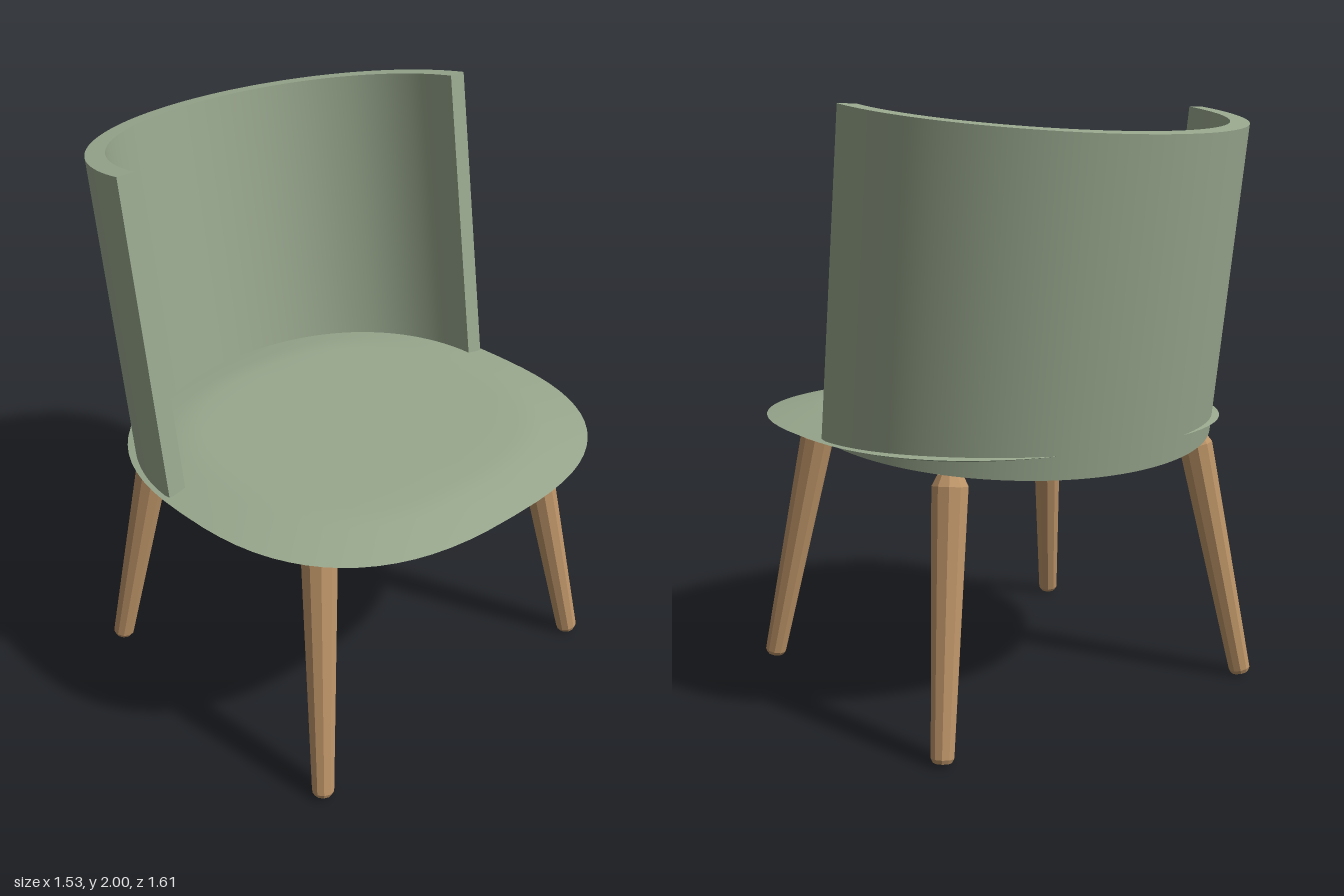
import * as THREE from 'three';
import { toCreasedNormals } from 'three/addons/utils/BufferGeometryUtils.js';

const fabric = new THREE.MeshStandardMaterial({ name: 'sageGreen', color: 0x99a88e });
const wood = new THREE.MeshStandardMaterial({ name: 'wood', color: 0xbd9468, flatShading: true });

// Point on the seat outline: a squarish front joined to a rounder back.
function outline(t, scale) {
  const c = Math.cos(t), s = Math.sin(t);
  const p = 2 / (s > 0 ? 2.6 : 2.4);
  const depth = s > 0 ? 0.735 : 0.72;
  const x = 0.765 * Math.sign(c) * Math.abs(c) ** p;
  const z = depth * Math.sign(s) * Math.abs(s) ** p;
  return [x * scale, 0.07 + z * scale];
}

// Domed surface made of scaled outlines; rings are [scale, height] from the middle to the rim.
function dome(rings, up) {
  const n = 72, pos = [], idx = [];
  for (const [scale, y] of rings) {
    for (let i = 0; i < n; i++) {
      const [x, z] = outline((i / n) * Math.PI * 2, scale);
      pos.push(x, y, z);
    }
  }
  for (let r = 0; r < rings.length - 1; r++) {
    for (let i = 0; i < n; i++) {
      const j = (i + 1) % n;
      const a = r * n + i, b = r * n + j, c = a + n, d = b + n;
      if (up) idx.push(a, b, c, b, d, c);
      else idx.push(a, c, b, b, c, d);
    }
  }
  const g = new THREE.BufferGeometry();
  g.setAttribute('position', new THREE.Float32BufferAttribute(pos, 3));
  g.setIndex(idx);
  g.computeVertexNormals();
  return g;
}

function add(parent, name, geometry, material) {
  const mesh = new THREE.Mesh(geometry, material);
  mesh.name = name;
  parent.add(mesh);
  return mesh;
}

export function createModel() {
  const chair = new THREE.Group();
  chair.name = 'chair';

  // Seat: upper and lower shells meeting in a sharp rim
  const seat = new THREE.Group();
  seat.name = 'seat';
  chair.add(seat);
  add(seat, 'seatTop', dome([[0.001, 0.972], [0.4, 0.973], [0.68, 0.975], [0.8, 0.968], [1, 0.938]], true), fabric);
  add(seat, 'seatUnderside', dome([[0.001, 0.859], [0.45, 0.862], [0.65, 0.868], [0.79, 0.882], [1, 0.938]], false), fabric);

  // Backrest: half-elliptical wall leaning backwards
  const wall = new THREE.Shape();
  wall.absellipse(0, 0, 0.745, 0.647, 0, Math.PI, false);
  wall.absellipse(0, 0, 0.68, 0.582, Math.PI, 0, true);
  wall.closePath();
  const wallGeo = new THREE.ExtrudeGeometry(wall, { depth: 1.066, bevelEnabled: false, curveSegments: 48 });
  wallGeo.rotateX(-Math.PI / 2);
  const backrest = add(chair, 'backrest', toCreasedNormals(wallGeo, 0.6), fabric);
  backrest.rotation.x = -0.141;
  backrest.position.set(0, 0.945, -0.015);

  // Legs: tapered, faceted and splayed, with chamfered ends
  const up = new THREE.Vector3(0, 1, 0);
  for (const side of [1, -1]) {
    for (const [name, topZ, footZ] of [['front', 0.445, 0.595], ['back', -0.41, -0.547]]) {
      const foot = new THREE.Vector3(side * 0.637, 0.006, footZ);
      const axis = new THREE.Vector3(side * 0.51, 0.872, topZ).sub(foot);
      const h = axis.length();
      const profile = [[0, 0], [0.03, 0], [0.038, 0.014], [0.06, h - 0.035], [0.042, h], [0, h]]
        .map(([r, y]) => new THREE.Vector2(r, y));
      const leg = add(chair, name + (side > 0 ? 'LeftLeg' : 'RightLeg'), new THREE.LatheGeometry(profile, 10), wood);
      leg.position.copy(foot);
      leg.quaternion.setFromUnitVectors(up, axis.normalize());
    }
  }
  return chair;
}
